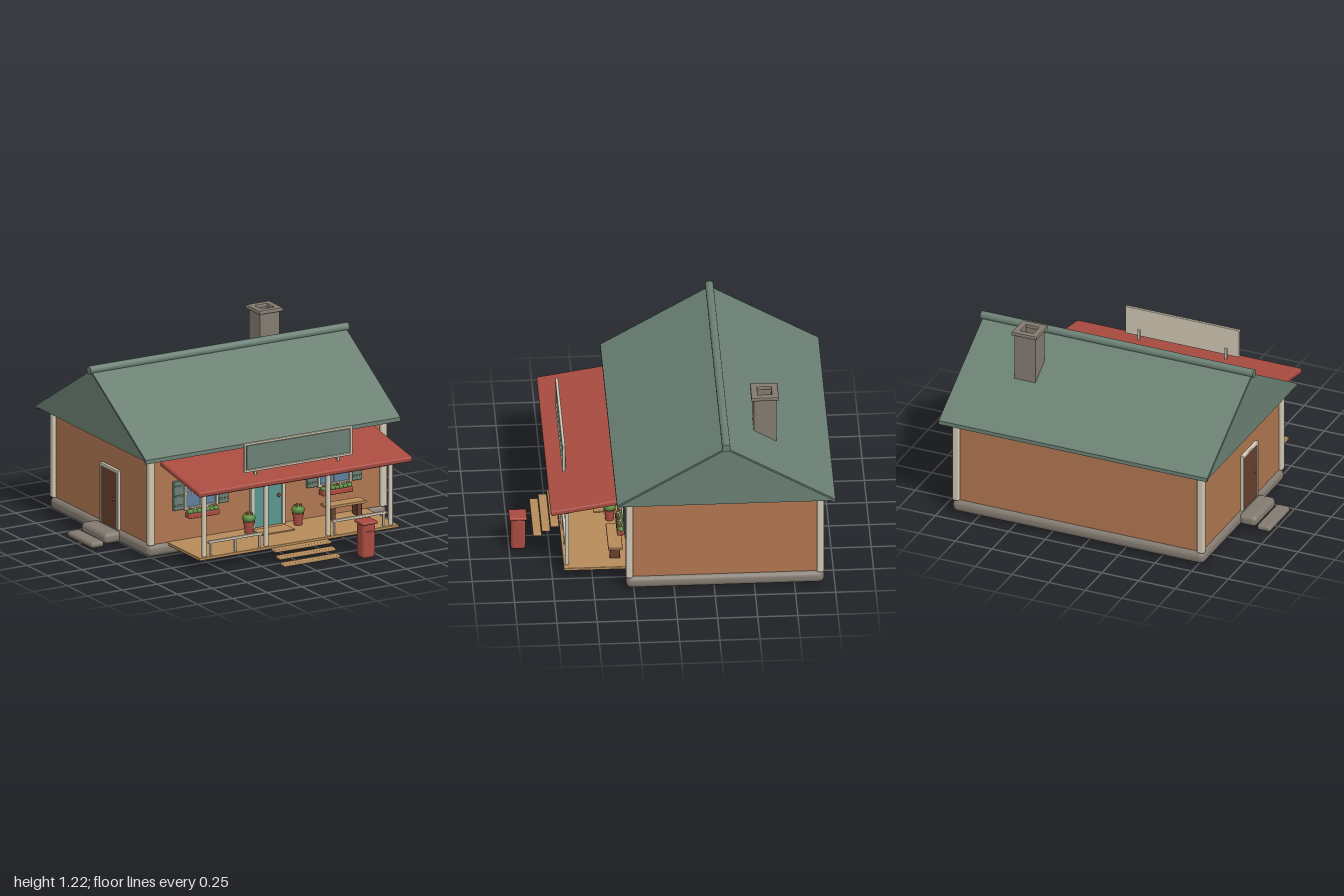
import * as THREE from 'three';
import { RoundedBoxGeometry } from 'three/addons/geometries/RoundedBoxGeometry.js';

const CX = 0.06; // the house is symmetric about this x

export function createModel() {
  const model = new THREE.Group();
  model.name = 'porchHouse';

  const colours = {
    roofGreen: 0x6a7f73, wallOrange: 0xaf7650, barnRed: 0xa84b40, cream: 0xcfc6b2, doorTeal: 0x5a9490,
    glassBlue: 0x5f7f9c, deckTan: 0xb58b59, darkBrown: 0x67402c, leafGreen: 0x5c8c3e, stoneGray: 0x827a70,
  };
  const M = {};
  for (const [name, color] of Object.entries(colours)) {
    M[name] = new THREE.MeshStandardMaterial({ color });
    M[name].name = name;
  }

  const add = (name, geo, mat, x = 0, y = 0, z = 0, parent = model) => {
    const mesh = new THREE.Mesh(geo, mat);
    mesh.name = name;
    mesh.position.set(x, y, z);
    parent.add(mesh);
    return mesh;
  };
  // Softly rounded box given by its extents
  const box = (name, mat, [x0, x1], [y0, y1], [z0, z1], r = 0.004, parent = model) => {
    const w = x1 - x0, h = y1 - y0, d = z1 - z0;
    const radius = Math.min(r, w * 0.45, h * 0.45, d * 0.45);
    return add(name, new RoundedBoxGeometry(w, h, d, 3, radius), mat,
      (x0 + x1) / 2, (y0 + y1) / 2, (z0 + z1) / 2, parent);
  };
  const mid = (c, w) => [c - w / 2, c + w / 2];
  const poly = pts => new THREE.Shape(pts.map(p => new THREE.Vector2(...p)));
  // Profile in (-z, y), extruded along x
  const alongX = (name, mat, pts, x0, x1) => {
    const geo = new THREE.ExtrudeGeometry(poly(pts), { depth: x1 - x0, bevelEnabled: false });
    return add(name, geo.rotateY(Math.PI / 2), mat, x0);
  };
  // Square ring with an open middle, extruded upwards
  const ring = (name, mat, size, hole, x, z, y0, y1, bevel) => {
    const sq = s => [[-s, -s], [s, -s], [s, s], [-s, s]];
    const shape = poly(sq(size / 2 - bevel));
    shape.holes.push(new THREE.Path(sq(hole / 2 + bevel).reverse().map(p => new THREE.Vector2(...p))));
    const geo = new THREE.ExtrudeGeometry(shape, {
      depth: y1 - y0 - 2 * bevel, bevelSize: bevel, bevelThickness: bevel, bevelSegments: 2,
    });
    return add(name, geo.rotateX(-Math.PI / 2), mat, x, y0 + bevel, z);
  };

  // Foundation, walls and corner posts
  box('foundation', M.stoneGray, [-0.80, 0.92], [0.022, 0.105], [-0.935, 0.30], 0.036);
  alongX('walls', M.wallOrange, [[-0.28, 0.09], [0.91, 0.09], [0.91, 0.69], [0.32, 1.04], [-0.28, 0.69]], -0.775, 0.895);
  for (const x of [-0.775, 0.895])
    for (const z of [0.28, -0.91]) box('cornerPost', M.cream, mid(x, 0.044), [0.1, 0.685], mid(z, 0.044), 0.01);

  // Main roof with hollow eaves, gable ends and ridge pole
  alongX('mainRoof', M.roofGreen,
    [[-0.36, 0.658], [0.32, 1.062], [1.0, 0.658], [1.0, 0.684], [0.32, 1.09], [-0.36, 0.684]], -0.855, 0.977);
  for (const x of [-0.857, 0.97])
    alongX('gableEnd', M.roofGreen, [[-0.355, 0.676], [0.995, 0.676], [0.32, 1.08]], x, x + 0.01);
  const ridge = new THREE.CylinderGeometry(0.026, 0.026, 1.86, 16).rotateZ(Math.PI / 2);
  add('ridgePole', ridge, M.roofGreen, CX, 1.094, -0.32);

  // Chimney, open at the top
  ring('chimney', M.stoneGray, 0.14, 0.09, 0.545, -0.582, 0.85, 1.205, 0.006);
  ring('chimneyCap', M.stoneGray, 0.172, 0.086, 0.545, -0.582, 1.198, 1.226, 0.009);

  // Porch: deck, floating steps, roof, beam, posts and railings
  box('porchDeck', M.deckTan, [-0.655, 0.78], [0.083, 0.102], [0.27, 0.68]);
  for (let i = 0; i < 3; i++)
    box('step', M.deckTan, [-0.14, 0.265], [0.07 - i * 0.032, 0.09 - i * 0.032], mid(0.708 + i * 0.054, 0.054), 0.007);
  const porchRoof = box('porchRoof', M.barnRed, [-0.705, 0.83], mid(0.58, 0.036), mid(0.52, 0.495), 0.012);
  porchRoof.rotation.x = 0.165;
  box('porchBeam', M.cream, [-0.64, 0.76], [0.49, 0.514], mid(0.658, 0.024), 0.008);
  for (const x of [-0.61, -0.163, 0.283, 0.73])
    box('porchPost', M.cream, mid(x, 0.027), [0.1, 0.51], mid(0.658, 0.027), 0.008);
  for (const s of [-1, 1]) {
    const c = CX + s * 0.446;
    box('railing', M.cream, mid(c, 0.39), [0.18, 0.198], mid(0.658, 0.018));
    for (const dx of [-0.175, 0, 0.175])
      box('railingPost', M.cream, mid(c + dx, 0.015), [0.1, 0.185], mid(0.658, 0.015));
  }

  // Blank sign board standing on the porch roof
  const sign = new THREE.Group();
  sign.name = 'signBoard';
  model.add(sign);
  box('signBack', M.cream, [-0.315, 0.44], [0.61, 0.785], [0.652, 0.66], 0.003, sign);
  box('signPanel', M.roofGreen, [-0.305, 0.43], [0.62, 0.775], [0.66, 0.666], 0.002, sign);
  for (const y of [0.61, 0.785]) box('signFrame', M.cream, [-0.327, 0.452], mid(y, 0.016), mid(0.662, 0.02), 0.005, sign);
  for (const x of [-0.318, 0.443]) box('signFrame', M.cream, mid(x, 0.016), [0.602, 0.793], mid(0.662, 0.02), 0.005, sign);
  for (const x of [-0.237, 0.357]) box('signLeg', M.cream, mid(x, 0.018), [0.56, 0.65], mid(0.65, 0.014), 0.004, sign);

  // Front door
  box('frontDoor', M.doorTeal, mid(CX, 0.21), [0.1, 0.492], [0.27, 0.294]);
  for (const s of [-1, 1]) box('doorFrame', M.cream, mid(CX + s * 0.112, 0.024), [0.1, 0.51], [0.27, 0.304]);
  box('doorFrame', M.cream, mid(CX, 0.248), [0.489, 0.512], [0.27, 0.304]);
  add('doorKnob', new THREE.SphereGeometry(0.012, 12, 8), M.darkBrown, 0.135, 0.292, 0.302);
  box('doorMat', M.deckTan, mid(CX - 0.02, 0.24), [0.1, 0.11], [0.34, 0.46]);

  // Windows with shutters and planters, lanterns and potted plants
  const ball = new THREE.SphereGeometry(1, 12, 8);
  for (const s of [-1, 1]) {
    const c = CX + s * 0.48;
    const win = new THREE.Group();
    win.name = 'window';
    model.add(win);
    box('glass', M.glassBlue, mid(c, 0.22), [0.30, 0.495], [0.27, 0.288], 0.002, win);
    for (const t of [-1, 1]) {
      box('windowFrame', M.cream, mid(c + t * 0.113, 0.018), [0.295, 0.5], [0.27, 0.303], 0.004, win);
      box('shutter', M.roofGreen, mid(c + t * 0.161, 0.074), [0.302, 0.49], [0.27, 0.3], 0.005, win);
      for (const y of [0.333, 0.396, 0.459])
        box('shutterRail', M.roofGreen, mid(c + t * 0.161, 0.06), mid(y, 0.01), [0.29, 0.304], 0.003, win);
    }
    for (const y of [0.303, 0.495]) box('windowFrame', M.cream, mid(c, 0.24), mid(y, 0.017), [0.27, 0.303], 0.004, win);
    box('mullion', M.cream, mid(c, 0.01), [0.3, 0.49], [0.28, 0.296], 0.003, win);
    box('mullion', M.cream, mid(c, 0.22), mid(0.4, 0.01), [0.28, 0.296], 0.003, win);

    const planter = new THREE.Group();
    planter.name = 'windowPlanter';
    model.add(planter);
    box('planterBox', M.barnRed, mid(c, 0.22), [0.246, 0.279], [0.285, 0.342], 0.007, planter);
    for (let i = 0; i < 7; i++) {
      const x = c + (i - 3) * 0.03;
      add('leaves', ball, M.leafGreen, x, 0.286, 0.315, planter).scale.set(0.021, 0.019, 0.024);
      add('flower', ball, [M.barnRed, M.cream, M.deckTan][i % 3], x, 0.306, 0.318 + (i % 2) * 0.008, planter)
        .scale.setScalar(0.0085);
    }

    const lx = CX + s * 0.186;
    const lantern = new THREE.Group();
    lantern.name = 'lantern';
    model.add(lantern);
    box('lanternBracket', M.darkBrown, mid(lx, 0.014), [0.495, 0.507], [0.275, 0.335], 0.003, lantern);
    add('lanternCap', new THREE.CylinderGeometry(0.01, 0.025, 0.018, 12), M.darkBrown, lx, 0.495, 0.325, lantern);
    add('lanternLight', new THREE.CylinderGeometry(0.02, 0.014, 0.045, 12), M.cream, lx, 0.464, 0.325, lantern);
    add('lanternBase', new THREE.CylinderGeometry(0.016, 0.012, 0.008, 12), M.darkBrown, lx, 0.44, 0.325, lantern);

    const pot = new THREE.Group();
    pot.name = 'pottedPlant';
    pot.position.set(CX + s * 0.177, 0.1, 0.365);
    model.add(pot);
    add('pot', new THREE.CylinderGeometry(0.034, 0.026, 0.075, 16), M.barnRed, 0, 0.0375, 0, pot);
    add('potRim', new THREE.CylinderGeometry(0.038, 0.038, 0.014, 16), M.barnRed, 0, 0.072, 0, pot);
    add('bush', ball, M.leafGreen, 0, 0.1, 0, pot).scale.set(0.042, 0.032, 0.042);
    for (let i = 0; i < 5; i++) {
      const a = i * Math.PI * 0.4;
      add('blossom', ball, M.barnRed, 0.02 * Math.cos(a), 0.128, 0.02 * Math.sin(a), pot).scale.setScalar(0.008);
    }
  }

  // Porch bench against the wall
  box('benchSeat', M.deckTan, [0.43, 0.71], [0.178, 0.196], [0.31, 0.4]);
  for (const x of [0.475, 0.665]) box('benchLeg', M.darkBrown, mid(x, 0.035), [0.1, 0.18], [0.325, 0.39]);

  // Side door and stepping stones
  box('sideDoor', M.darkBrown, [-0.79, -0.76], [0.1, 0.47], mid(-0.205, 0.19));
  for (const s of [-1, 1]) box('sideDoorFrame', M.cream, [-0.796, -0.76], [0.1, 0.485], mid(-0.205 + s * 0.104, 0.02));
  box('sideDoorFrame', M.cream, [-0.796, -0.76], [0.468, 0.488], mid(-0.205, 0.228));
  add('sideDoorKnob', new THREE.SphereGeometry(0.011, 12, 8), M.darkBrown, -0.796, 0.292, -0.14);
  box('sideStone', M.stoneGray, [-0.903, -0.78], [0.03, 0.102], [-0.37, -0.06], 0.03);
  box('sideStone', M.stoneGray, [-1.0, -0.907], [0.02, 0.058], [-0.37, -0.06], 0.017);

  // Red post box by the steps
  box('postBox', M.barnRed, mid(0.388, 0.092), [0.022, 0.252], mid(0.945, 0.092), 0.022);
  box('postBoxCap', M.barnRed, mid(0.388, 0.11), [0.242, 0.262], mid(0.945, 0.11), 0.008);
  box('postBoxSlot', M.darkBrown, mid(0.388, 0.055), mid(0.197, 0.01), [0.986, 0.993], 0.002);

  return model;
}
